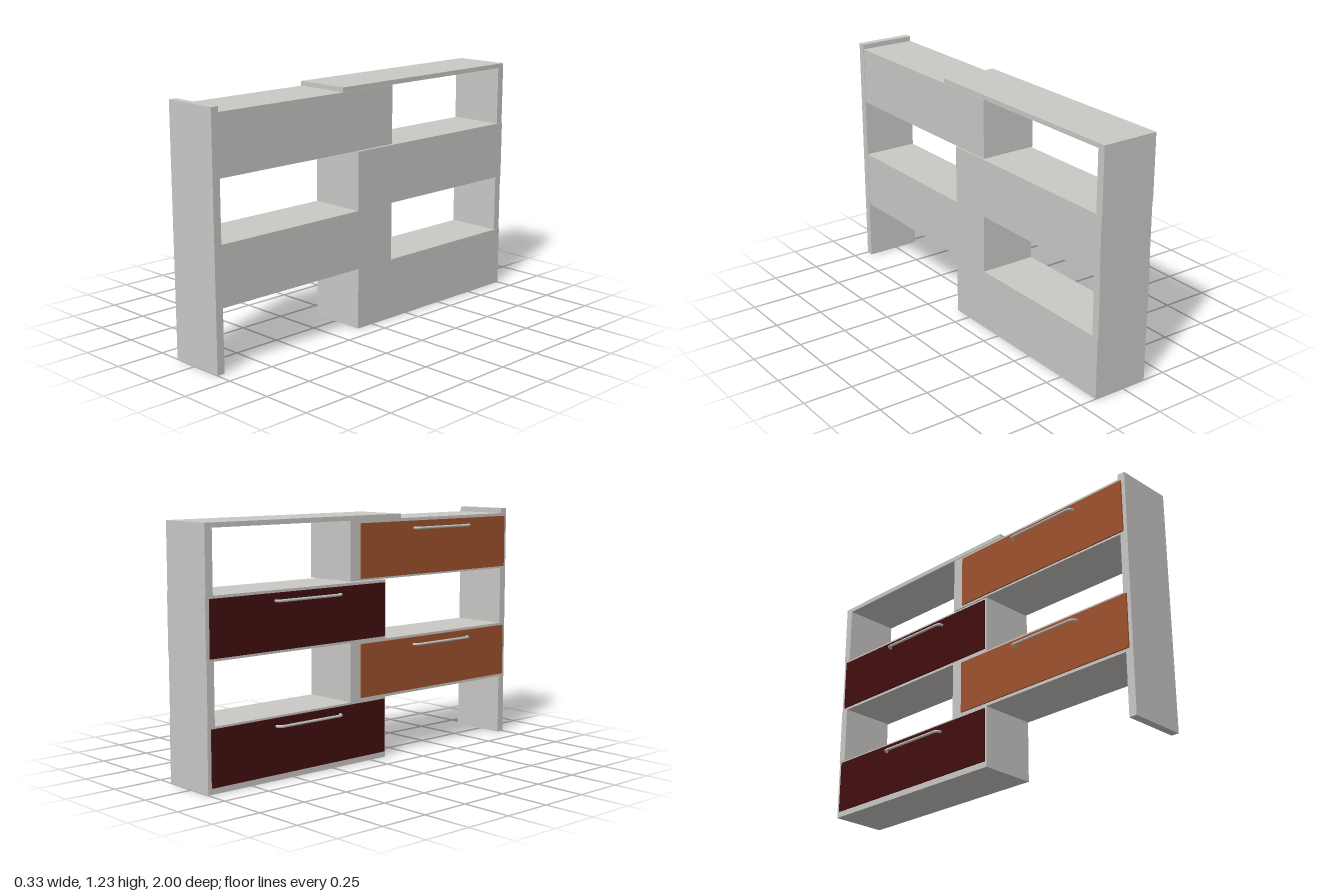
import * as THREE from 'three';

const material = (name, color) => {
  const m = new THREE.MeshStandardMaterial({ color });
  m.name = name;
  return m;
};

export function createModel() {
  const grey = material('light grey board', 0xcbc9c6);
  const sienna = material('sienna front', 0xa0522d);
  const maroon = material('dark maroon front', 0x430e10);
  const metal = material('handle metal', 0xc0c0bc);

  const model = new THREE.Group();
  model.name = 'shelfUnit';

  // Box given by its limits on each axis
  const slab = (parent, name, mat, [x0, x1], [y0, y1], [z0, z1]) => {
    const mesh = new THREE.Mesh(new THREE.BoxGeometry(x1 - x0, y1 - y0, z1 - z0), mat);
    mesh.position.set((x0 + x1) / 2, (y0 + y1) / 2, (z0 + z1) / 2);
    mesh.name = name;
    parent.add(mesh);
  };

  // Bow handle: two legs, rounded corners and a long grip
  const v = (x, z) => new THREE.Vector3(x, 0, z);
  const half = 0.198, bend = 0.026, base = -0.13, out = -0.161;
  const path = new THREE.CurvePath();
  path.add(new THREE.LineCurve3(v(base, -half), v(out + bend, -half)));
  path.add(new THREE.QuadraticBezierCurve3(v(out + bend, -half), v(out, -half), v(out, -half + bend)));
  path.add(new THREE.LineCurve3(v(out, -half + bend), v(out, half - bend)));
  path.add(new THREE.QuadraticBezierCurve3(v(out, half - bend), v(out, half), v(out + bend, half)));
  path.add(new THREE.LineCurve3(v(out + bend, half), v(base, half)));
  const handleGeometry = new THREE.TubeGeometry(path, 90, 0.007, 12);

  // Drawer boxes, alternating between the two ends of the unit
  const depth = [-0.13, 0.163];
  const rear = { z: [-1, 0.1], front: [-0.98, 0.09], handle: -0.41, mat: maroon };
  const fore = { z: [-0.135, 0.96], front: [-0.07, 0.98], handle: 0.49, mat: sienna };
  const rows = [
    { side: rear, y: [0, 0.31], front: [0.03, 0.3], grip: 0.262 },
    { side: fore, y: [0.31, 0.605], front: [0.325, 0.593], grip: 0.557 },
    { side: rear, y: [0.605, 0.9], front: [0.618, 0.887], grip: 0.851 },
    { side: fore, y: [0.905, 1.2], front: [0.915, 1.185], grip: 1.148 },
  ];
  rows.forEach(({ side, y, front, grip }, i) => {
    const drawer = new THREE.Group();
    drawer.name = `drawerUnit${i + 1}`;
    slab(drawer, 'carcass', grey, depth, y, side.z);
    slab(drawer, 'drawerFront', side.mat, [-0.137, -0.13], front, side.front);
    const handle = new THREE.Mesh(handleGeometry, metal);
    handle.position.set(0, grip, side.handle);
    handle.name = 'handle';
    drawer.add(handle);
    model.add(drawer);
  });

  // Full-height end board, short uprights and the top board
  slab(model, 'endBoard', grey, [-0.13, 0.165], [0, 1.226], [0.96, 1]);
  slab(model, 'lowerUpright', grey, [-0.133, 0.16], [0.31, 0.605], [-1, -0.96]);
  slab(model, 'upperUpright', grey, [-0.133, 0.16], [0.9, 1.2], [-1, -0.96]);
  slab(model, 'topBoard', grey, [-0.133, 0.16], [1.2, 1.223], [-1, 0.2]);

  return model;
}
